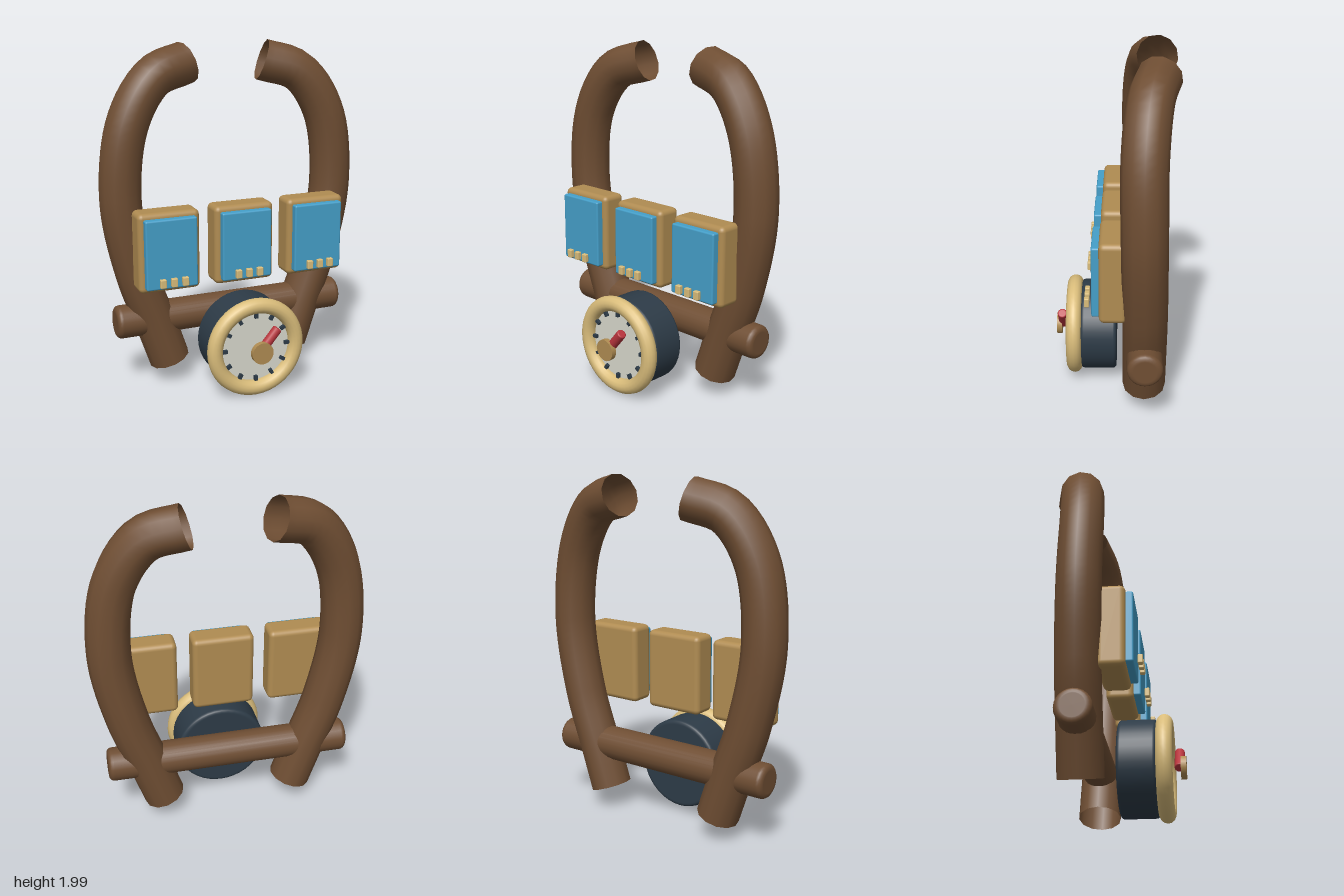
import * as THREE from 'three';
import { RoundedBoxGeometry } from 'three/addons/geometries/RoundedBoxGeometry.js';

function material(name, color, side = THREE.FrontSide) {
  const m = new THREE.MeshStandardMaterial({ color, side });
  m.name = name;
  return m;
}

// Solid cylinder along y with rounded rims
function roundedCylinder(radius, length, bevel, segments) {
  const h = length / 2;
  const points = [new THREE.Vector2(0, -h), new THREE.Vector2(radius - bevel - 0.005, -h)];
  for (const end of [-1, 1]) {
    for (let i = 0; i <= 4; i++) {
      const a = (end < 0 ? i - 4 : i) * Math.PI / 8;
      points.push(new THREE.Vector2(
        radius - bevel + bevel * Math.cos(a),
        end * (h - bevel) + bevel * Math.sin(a)));
    }
  }
  points.push(new THREE.Vector2(radius - bevel - 0.005, h), new THREE.Vector2(0, h));
  return new THREE.LatheGeometry(points, segments);
}

export function createModel() {
  const model = new THREE.Group();
  const brown = material('brown leather', 0x6f4e33, THREE.DoubleSide);
  const tan = material('tan', 0xb08c52);
  const brass = material('pale brass', 0xdabd7b);
  const blue = material('screen blue', 0x459fc9);
  const slate = material('dark slate', 0x2d3b47);
  const ivory = material('ivory', 0xd9d9cd);
  const red = material('red', 0xb8343c);

  function add(parent, name, geometry, mat, x = 0, y = 0, z = 0) {
    const mesh = new THREE.Mesh(geometry, mat);
    mesh.name = name;
    mesh.position.set(x, y, z);
    parent.add(mesh);
    return mesh;
  }

  // Curved shoulder tubes with open ends
  for (const side of [-1, 1]) {
    const path = new THREE.CatmullRomCurve3([
      [0.39, 0.14, -0.17], [0.47, 0.38, -0.17], [0.58, 0.70, -0.168],
      [0.66, 1.15, -0.16], [0.605, 1.58, -0.158], [0.445, 1.82, -0.185],
      [0.235, 1.89, -0.235],
    ].map(([x, y, z]) => new THREE.Vector3(side * x, y, z)));
    add(model, side > 0 ? 'leftStrap' : 'rightStrap',
      new THREE.TubeGeometry(path, 40, 0.122, 12), brown);
  }

  // Crossbar joining the tubes
  add(model, 'crossbar', roundedCylinder(0.098, 1.43, 0.03, 24), brown, 0, 0.41, -0.17)
    .rotation.z = Math.PI / 2;

  // Three pouches, each with a blue panel and three buttons
  for (const x of [-0.45, 0, 0.45]) {
    const pouch = new THREE.Group();
    pouch.name = 'pouch';
    pouch.position.set(x, 0.88, 0);
    model.add(pouch);
    add(pouch, 'pouchBody', new RoundedBoxGeometry(0.36, 0.46, 0.15, 3, 0.03), tan, 0, 0, 0.003);
    add(pouch, 'pouchPanel', new RoundedBoxGeometry(0.30, 0.40, 0.06, 2, 0.01), blue, 0, 0, 0.088);
    for (const dx of [-0.065, 0, 0.065]) {
      add(pouch, 'button', new RoundedBoxGeometry(0.035, 0.05, 0.027, 2, 0.005), brass, dx, -0.155, 0.146);
    }
  }

  // Round gauge
  const gauge = new THREE.Group();
  gauge.name = 'gauge';
  gauge.position.set(0, 0.305, 0);
  model.add(gauge);
  add(gauge, 'gaugeHousing', roundedCylinder(0.268, 0.21, 0.02, 40), slate, 0, 0, 0.095)
    .rotation.x = Math.PI / 2;
  add(gauge, 'gaugeFace', new THREE.CylinderGeometry(0.225, 0.225, 0.04, 40), ivory, 0, 0, 0.215)
    .rotation.x = Math.PI / 2;
  add(gauge, 'gaugeRim', new THREE.TorusGeometry(0.25, 0.045, 14, 48), brass, 0, 0, 0.24);

  // Hour marks around the face
  for (let i = 0; i < 12; i++) {
    const a = i * Math.PI / 6;
    add(gauge, 'mark', new THREE.BoxGeometry(0.02, 0.035, 0.02), slate,
      0.195 * Math.sin(a), 0.195 * Math.cos(a), 0.243).rotation.z = -a;
  }

  // Needle and hub
  add(gauge, 'needle', roundedCylinder(0.028, 0.164, 0.008, 16), red, 0.053, 0.063, 0.312)
    .rotation.z = -0.7;
  add(gauge, 'hub', new THREE.CylinderGeometry(0.064, 0.064, 0.03, 24), tan, 0, 0, 0.335)
    .rotation.x = Math.PI / 2;

  return model;
}
